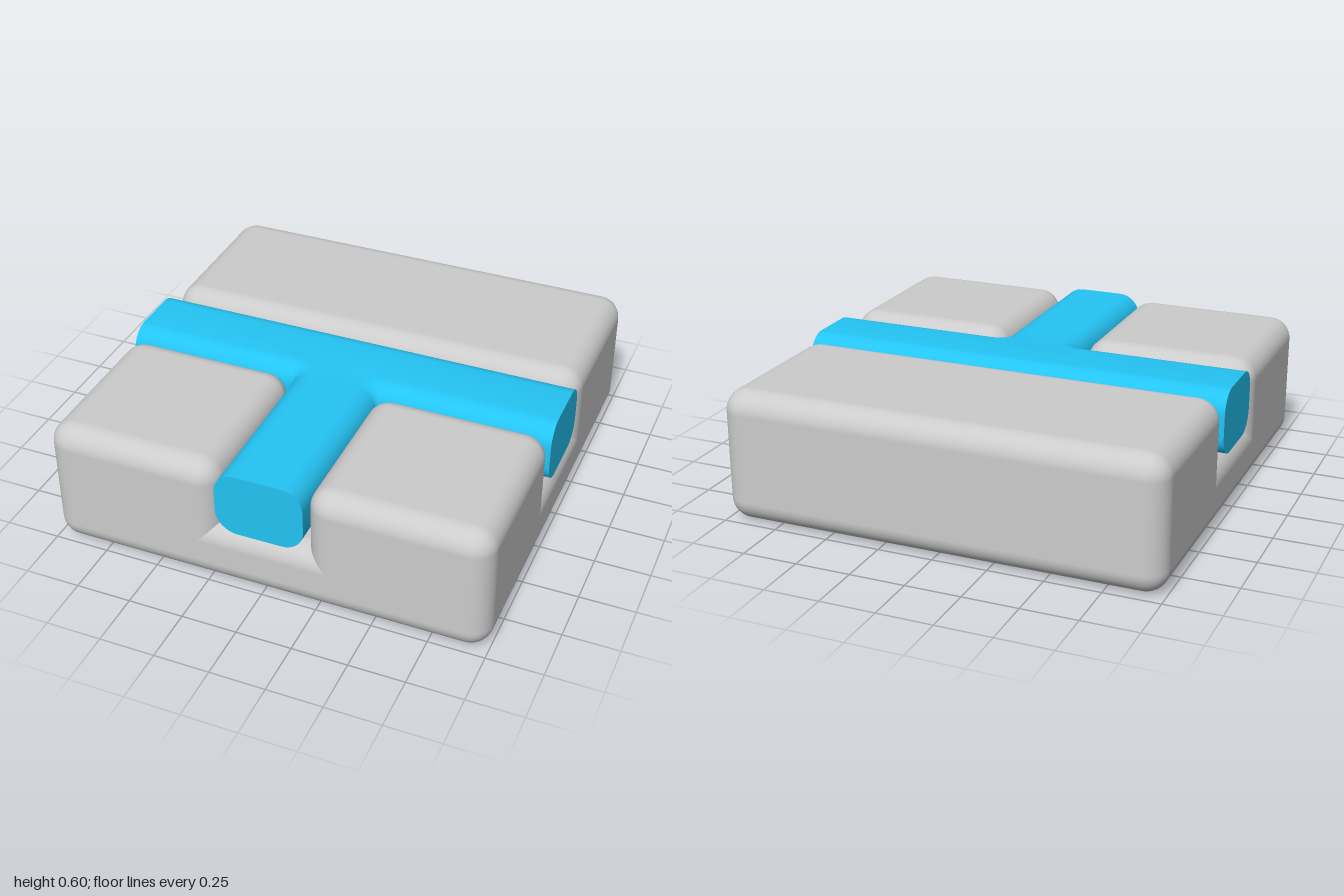
import * as THREE from 'three';
import { RoundedBoxGeometry } from 'three/addons/geometries/RoundedBoxGeometry.js';
import { mergeGeometries, toCreasedNormals } from 'three/addons/utils/BufferGeometryUtils.js';

const R = 0.1;      // edge radius everywhere
const HALF = 0.2;   // half width of the channel
const FLOOR = 0.3;  // channel floor
const TOP = 0.6;

// T outline inset by d, with rounded inner corners; points are [x, z]
function tOutline(d) {
  const a = HALF - d, c = HALF + 0.02, r = c - a, n = 8;
  const right = [[1, -a], [1, a]];
  for (let i = 0; i <= n; i++) {
    const t = Math.PI * (1.5 - 0.5 * i / n);
    right.push([c + r * Math.cos(t), c + r * Math.sin(t)]);
  }
  right.push([a, 1]);
  return [...right, ...right.map(([x, z]) => [-x, z]).reverse()];
}

// Flat lid over an outline, facing up or down
function lid(points, y, up) {
  const s = up ? -1 : 1;
  const shape = new THREE.Shape(points.map(([x, z]) => new THREE.Vector2(x, s * z)));
  return new THREE.ShapeGeometry(shape).rotateX(s * Math.PI / 2).translate(0, y, 0);
}

// T-shaped bar with rounded long edges and flat ends, lofted from stacked outlines
function tBarGeometry() {
  const layers = [], n = 8;
  for (const bottom of [true, false]) {
    for (let i = 0; i <= n; i++) {
      const t = (bottom ? n - i : i) / n * Math.PI / 2;
      const inset = R * (1 - Math.cos(t)), rise = R * Math.sin(t);
      layers.push({ y: bottom ? FLOOR + R - rise : TOP - R + rise, loop: tOutline(inset) });
    }
  }
  const count = layers[0].loop.length, pos = [], index = [];
  layers.forEach(({ y, loop }) => loop.forEach(([x, z]) => pos.push(x, y, z)));
  for (let k = 0; k < layers.length - 1; k++) {
    for (let i = 0; i < count; i++) {
      const j = (i + 1) % count;
      const a = k * count + i, b = k * count + j, c = b + count, d = a + count;
      index.push(a, d, c, a, c, b);
    }
  }
  const wall = new THREE.BufferGeometry();
  wall.setAttribute('position', new THREE.Float32BufferAttribute(pos, 3));
  wall.setIndex(index);
  const parts = [wall, lid(layers[0].loop, FLOOR, false), lid(layers.at(-1).loop, TOP, true)];
  const flat = parts.map((g) => {
    const p = g.toNonIndexed();
    p.deleteAttribute('uv');
    p.deleteAttribute('normal');
    return p;
  });
  return toCreasedNormals(mergeGeometries(flat), 0.6);
}

// Raised block: a rounded box whose lower part is cut off inside the slab
function blockGeometry(x0, x1, z0, z1) {
  const g = new RoundedBoxGeometry(x1 - x0, TOP, z1 - z0, 6, R);
  g.translate((x0 + x1) / 2, TOP / 2, (z0 + z1) / 2);
  const p = g.attributes.position, cut = FLOOR - R;
  for (let i = 0; i < p.count; i++) p.setY(i, Math.max(p.getY(i), cut));
  return g;
}

export function createModel() {
  const model = new THREE.Group();
  const grey = new THREE.MeshStandardMaterial({ color: 0xcccccc });
  const blue = new THREE.MeshStandardMaterial({ color: 0x24c4f4 });
  const add = (name, geometry, material) => {
    const mesh = new THREE.Mesh(geometry, material);
    mesh.name = name;
    model.add(mesh);
  };

  // Slab under the channels
  add('baseSlab', new RoundedBoxGeometry(2, FLOOR, 2, 6, R).translate(0, FLOOR / 2, 0), grey);

  // Blocks around the T channel
  add('backBlock', blockGeometry(-1, 1, -1, -HALF), grey);
  add('frontLeftBlock', blockGeometry(HALF, 1, HALF, 1), grey);
  add('frontRightBlock', blockGeometry(-1, -HALF, HALF, 1), grey);

  // Coloured T-shaped bar lying in the channel
  add('tBar', tBarGeometry(), blue);
  return model;
}
